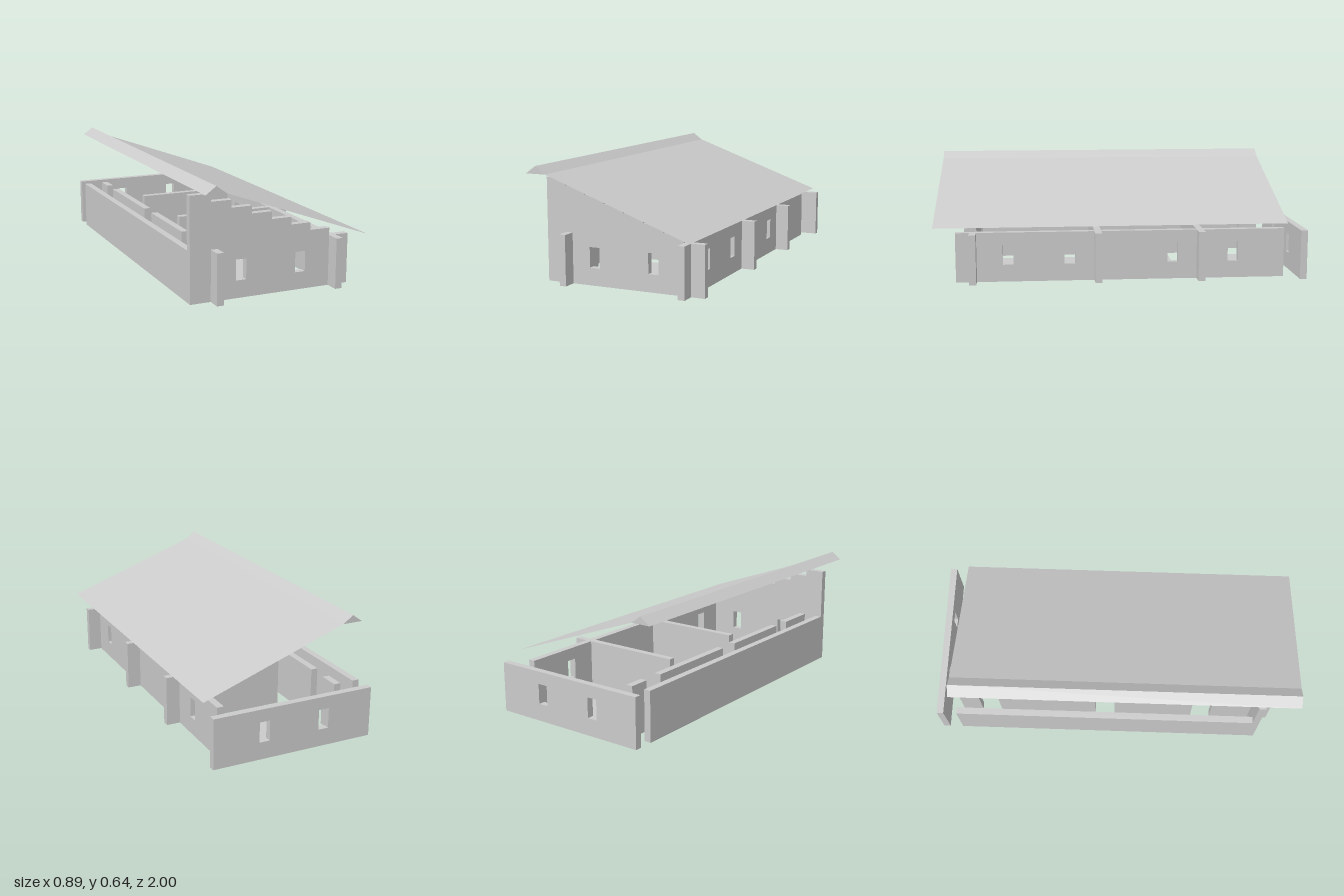
import * as THREE from 'three';

const U = 1 / 9;          // planning grid
const T = 0.037;          // wall thickness
const Y0 = 0.0125;        // underside of walls
const H = 0.28;           // top of walls
const WIN = { w: 0.057, y0: 0.105, y1: 0.213 };

export function createModel() {
  const house = new THREE.Group();
  house.name = 'house';
  const mat = new THREE.MeshStandardMaterial({ color: 0xcccccc, flatShading: true });
  const sheetMat = new THREE.MeshStandardMaterial({ color: 0xcccccc, flatShading: true, side: THREE.DoubleSide });

  const add = (name, geometry, material = mat) => {
    const mesh = new THREE.Mesh(geometry, material);
    mesh.name = name;
    house.add(mesh);
    return mesh;
  };

  // Wall panel from an outline of [along, y] points with window openings
  const panel = (points, windows = []) => {
    const shape = new THREE.Shape(points.map(([a, y]) => new THREE.Vector2(a, y)));
    for (const c of windows) {
      const l = c - WIN.w / 2, r = c + WIN.w / 2;
      shape.holes.push(new THREE.Path([[l, WIN.y0], [l, WIN.y1], [r, WIN.y1], [r, WIN.y0]]
        .map(([a, y]) => new THREE.Vector2(a, y))));
    }
    return new THREE.ExtrudeGeometry(shape, { depth: T, bevelEnabled: false });
  };
  const rect = (a, b) => [[a, Y0], [b, Y0], [b, H], [a, H]];

  // Wall across the house, its back face at z
  const crossWall = (name, z, points, windows) =>
    add(name, panel(points, windows).translate(0, 0, z));

  // Wall along the house from z0 to z1, its -x face at x
  const longWall = (name, x, z0, z1, windows = []) =>
    add(name, panel(rect(-z1, -z0), windows.map((z) => -z)).rotateY(Math.PI / 2).translate(x, 0, 0));

  // Stepped front gable
  const gable = [[-4 * U, Y0], [4 * U, Y0]];
  for (let i = 0; i < 8; i++) {
    const y = H + i * 0.04;
    gable.push([(4 - i) * U, y], [(3 - i) * U, y]);
  }
  crossWall('frontGableWall', 7 * U, gable, [-0.168, 0.166]);
  crossWall('backWall', -1, rect(-4 * U, 4 * U), [-0.168, 0.166]);

  // Room partitions, running out past the window wall as piers
  for (const z of [U, -4 * U]) crossWall('partitionWall', z, rect(-2 * U, 4 * U));

  // Long walls
  longWall('windowWall', 3 * U, -8 * U, 8 * U, [0.61, 0.28, -0.276, -0.607]);
  longWall('verandaWall', -4 * U, -8 * U, 7 * U);
  // Corridor wall, broken by three doorways
  for (const [a, b] of [[-8, -7], [-6, -1], [0, 4], [5, 8]]) {
    longWall('corridorWall', -3 * U, a * U, b * U);
  }

  // Floor slab in each room
  for (const [a, b] of [[-8, -5], [-3, 0], [2, 6]]) {
    add('floorSlab', new THREE.BoxGeometry(4 * U, 0.014, (b - a) * U)
      .translate(0, 0.007, (a + b) * U / 2));
  }

  // Folded roof sheet: short back slope, ridge, then the long slope
  const profile = [[-4 * U, 0.6], [-3.5 * U, 0.64], [-3 * U, 0.6], [4 * U, 0.32]];
  const roof = new THREE.PlaneGeometry(1, 1, profile.length - 1, 1);
  const pos = roof.attributes.position;
  for (let i = 0; i < pos.count; i++) {
    const [x, y] = profile[i % profile.length];
    pos.setXYZ(i, x, y, i < profile.length ? -8 * U : 1);
  }
  const flatRoof = roof.toNonIndexed();
  flatRoof.computeVertexNormals();
  add('roofSheet', flatRoof, sheetMat);

  // Thin triangular ribs under the ridge
  const rib = new THREE.ShapeGeometry(new THREE.Shape(
    [[0, 0.6], [2, 0.6], [1, 0.64]].map(([i, y]) => new THREE.Vector2((-4 + i * 0.5) * U, y))));
  for (let i = -8; i <= 9; i++) add('ridgeRib', rib, sheetMat).position.z = i * U;

  return house;
}
